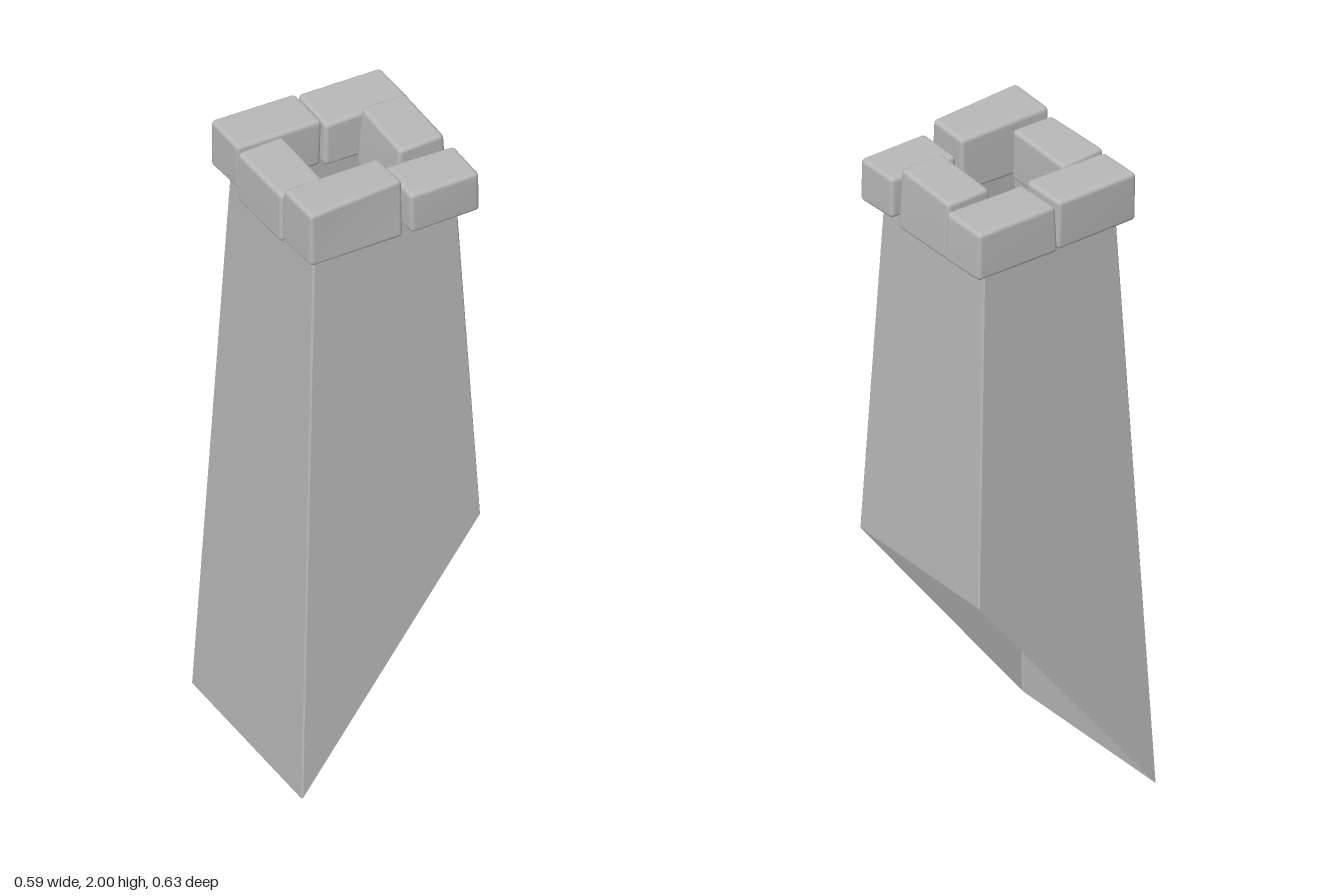
import * as THREE from 'three';
import { mergeVertices } from 'three/addons/utils/BufferGeometryUtils.js';
import { RoundedBoxGeometry } from 'three/addons/geometries/RoundedBoxGeometry.js';

// Seeded noise in -1..1
function makeRandom(seed) {
  let s = seed;
  return () => {
    s = (s * 16807) % 2147483647;
    return (s / 2147483647) * 2 - 1;
  };
}

// Four-cornered ring with finely chamfered corners; each corner is [x, y, z]
function chamferRing(corners, c) {
  const pts = corners.map((p) => new THREE.Vector3(...p));
  const ring = [];
  pts.forEach((p, i) => {
    for (const q of [pts[(i + 3) % 4], pts[(i + 1) % 4]]) {
      ring.push(p.clone().addScaledVector(q.clone().sub(p).normalize(), c));
    }
  });
  return ring;
}

// Open tapered tube, cut at a slant below
function shaftGeometry() {
  const top = chamferRing([
    [-0.215, 1.85, 0.235], [0.244, 1.85, 0.235],
    [0.244, 1.85, -0.235], [-0.215, 1.85, -0.235],
  ], 0.005);
  const bottom = chamferRing([
    [-0.297, 0, 0.314], [0.295, 0.76, 0.28],
    [0.295, 0.76, -0.28], [-0.297, 0, -0.314],
  ], 0.005);
  const tris = [];
  for (let i = 0; i < 8; i++) {
    const j = (i + 1) % 8;
    tris.push(bottom[i], bottom[j], top[j], bottom[i], top[j], top[i]);
  }
  const geo = new THREE.BufferGeometry().setFromPoints(tris);
  geo.computeVertexNormals();
  return geo;
}

// Worn stone: a rounded box whose eight corners are nudged, blended smoothly
function stoneGeometry([x0, x1], [y0, y1], [z0, z1], seed, shape) {
  const size = new THREE.Vector3(x1 - x0, y1 - y0, z1 - z0);
  let geo = new RoundedBoxGeometry(size.x, size.y, size.z, 2, 0.014);
  const random = makeRandom(seed);
  const nudges = Array.from({ length: 8 }, () =>
    new THREE.Vector3(random(), random(), random()).multiplyScalar(0.005));
  const pos = geo.attributes.position;
  const p = new THREE.Vector3();
  for (let i = 0; i < pos.count; i++) {
    p.fromBufferAttribute(pos, i);
    const t = p.clone().divide(size).addScalar(0.5);
    nudges.forEach((n, k) => {
      const w = (k & 1 ? t.x : 1 - t.x) * (k & 2 ? t.y : 1 - t.y) * (k & 4 ? t.z : 1 - t.z);
      p.addScaledVector(n, w);
    });
    if (shape) shape(p, t);
    pos.setXYZ(i, p.x, p.y, p.z);
  }
  geo.deleteAttribute('normal');
  geo.deleteAttribute('uv');
  geo = mergeVertices(geo, 1e-5);
  geo.computeVertexNormals();
  geo.translate((x0 + x1) / 2, (y0 + y1) / 2, (z0 + z1) / 2);
  return geo;
}

export function createModel() {
  const group = new THREE.Group();
  const stone = new THREE.MeshStandardMaterial({ color: 0xb8b8b8, side: THREE.DoubleSide });
  stone.name = 'grey stone';

  const add = (name, geometry) => {
    const mesh = new THREE.Mesh(geometry, stone);
    mesh.name = name;
    group.add(mesh);
  };

  add('shaft', shaftGeometry());

  // Ring of rim stones: name, x range, y range, z range, extra wear
  const stones = [
    ['backRightStone', [-0.257, 0.012], [1.82, 1.975], [-0.27, -0.12]],
    ['backLeftStone', [0.016, 0.288], [1.817, 1.965], [-0.271, -0.106]],
    ['rightStone', [-0.266, -0.122], [1.812, 1.975], [-0.111, 0.131]],
    // narrower at the top
    ['leftStone', [0.115, 0.28], [1.797, 1.985], [-0.105, 0.127],
      (p, t) => { p.x -= Math.sign(t.x - 0.5) * 0.01 * t.y; }],
    // upper front edge worn back towards one end
    ['frontRightStone', [-0.256, 0.048], [1.82, 1.999], [0.133, 0.29],
      (p, t) => { p.z -= 0.022 * t.x * t.y * t.z; }],
    ['frontLeftStone', [0.063, 0.29], [1.82, 1.957], [0.135, 0.286]],
  ];
  stones.forEach(([name, x, y, z, shape], i) => {
    add(name, stoneGeometry(x, y, z, 1237 + i * 7919, shape));
  });

  return group;
}
